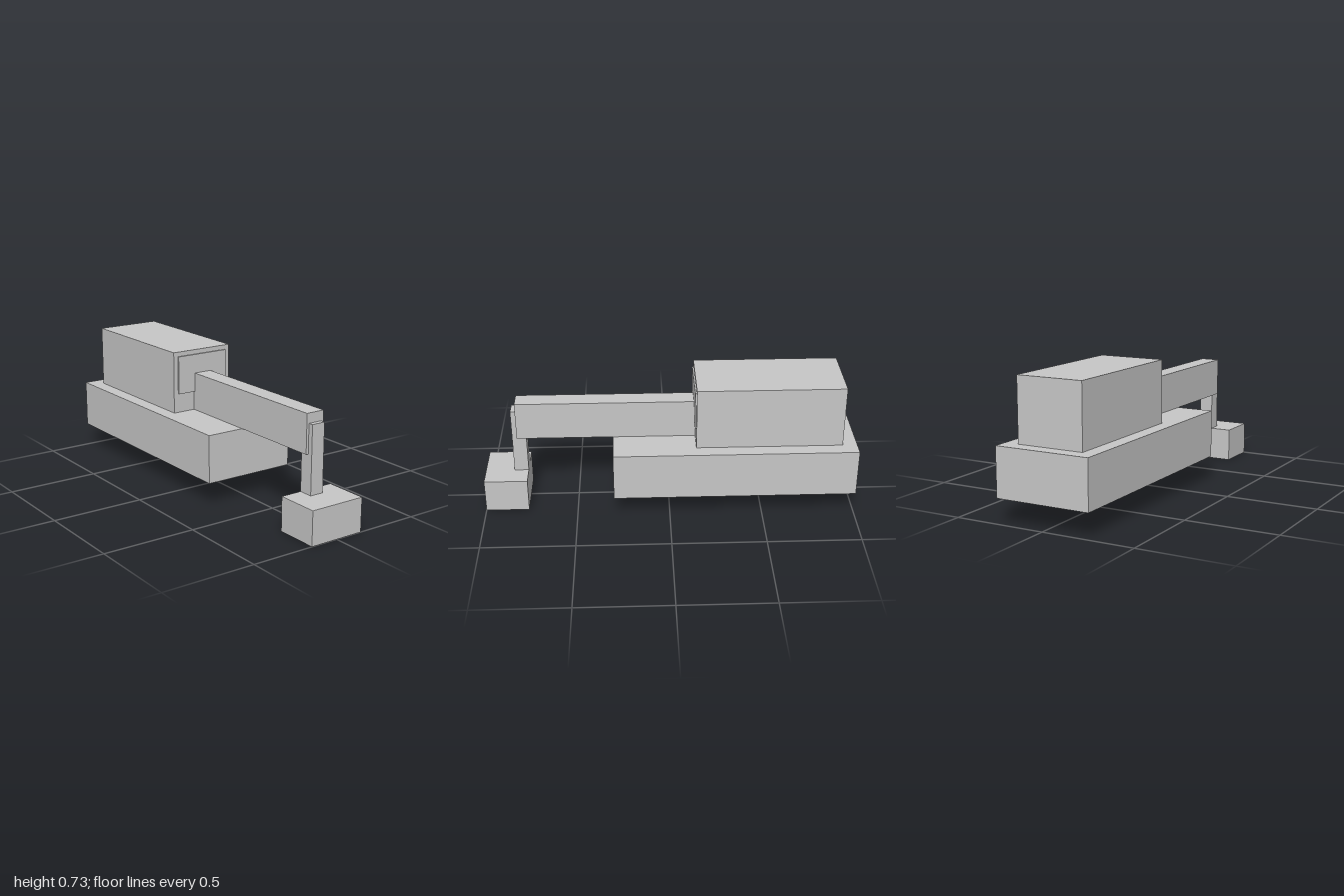
import * as THREE from 'three';

export function createModel() {
  const model = new THREE.Group();
  const grey = new THREE.MeshStandardMaterial({ color: 0xc7c7c7 });
  grey.name = 'light grey';

  // Box centred on x = 0, given its width and its y and z ranges
  function addBox(name, width, y0, y1, z0, z1) {
    const mesh = new THREE.Mesh(new THREE.BoxGeometry(width, y1 - y0, z1 - z0), grey);
    mesh.name = name;
    mesh.position.set(0, (y0 + y1) / 2, (z0 + z1) / 2);
    model.add(mesh);
  }

  // Body
  addBox('base', 0.519, 0.13, 0.39, -1, 0.3);
  addBox('cabin', 0.364, 0.39, 0.727, -0.922, -0.142);
  addBox('frontPanel', 0.311, 0.494, 0.702, -0.145, -0.134);

  // Arm and bucket
  addBox('boom', 0.103, 0.39, 0.598, -0.142, 0.818);
  addBox('stick', 0.076, 0.183, 0.546, 0.767, 0.844);
  addBox('bucket', 0.311, 0, 0.183, 0.767, 1);

  return model;
}
